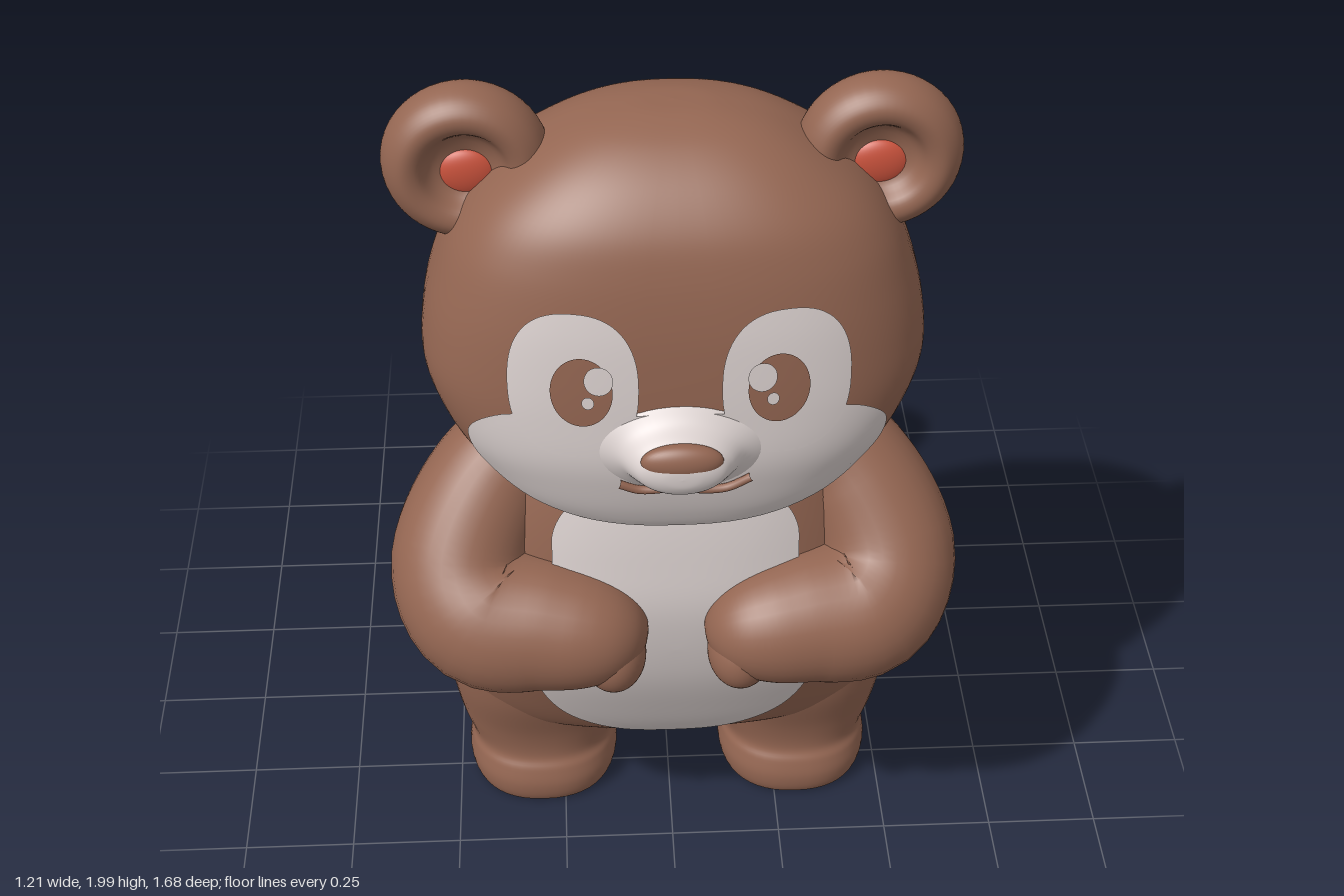
import * as THREE from 'three';

const { Vector2, Vector3, CatmullRomCurve3 } = THREE;
const mat = (name, color) => Object.assign(new THREE.MeshStandardMaterial({ color }), { name });
const brown = mat('brown fur', 0x946652);
const cream = mat('cream fur', 0xdcd2d0);
const red = mat('red inner ear', 0xc9523c);

const mesh = (name, geometry, material) => Object.assign(new THREE.Mesh(geometry, material), { name });

// Skin a grid of rings; each ring is a closed loop of Vector3
function skin(rings) {
  const n = rings[0].length, index = [];
  for (let i = 0; i < rings.length - 1; i++) {
    for (let j = 0; j < n; j++) {
      const k = (j + 1) % n, a = i * n, b = a + n;
      index.push(a + j, a + k, b + j, a + k, b + k, b + j);
    }
  }
  const g = new THREE.BufferGeometry().setFromPoints(rings.flat());
  g.setIndex(index);
  g.computeVertexNormals();
  return g;
}

// Upright form from rows [y, half width, back z, front z] with superellipse rings
function loft(rows, { cx = 0, nf = 2.3, nb = 2.5, steps = 80, segs = 72 } = {}) {
  const curve = (f) => new CatmullRomCurve3(rows.map(f), false, 'catmullrom', 0.5);
  const A = curve(([y, w, zb]) => new Vector3(w, y, zb));
  const B = curve(([y, , , zf]) => new Vector3(zf, y, 0));
  const at = (t) => {
    const a = A.getPoint(t), zf = B.getPoint(t).x;
    return { y: a.y, w: Math.max(a.x, 0), zc: (a.z + zf) / 2, d: Math.max((zf - a.z) / 2, 0) };
  };
  const pow = (v, e) => Math.sign(v) * Math.abs(v) ** e;
  const rings = [];
  for (let i = 0; i <= steps; i++) {
    const { y, w, zc, d } = at(i / steps), ring = [];
    for (let j = 0; j < segs; j++) {
      const th = (j / segs) * Math.PI * 2, c = Math.cos(th), s = -Math.sin(th);
      const e = 2 / (s > 0 ? nf : nb);
      ring.push(new Vector3(cx + w * pow(c, e), y, zc + d * pow(s, e)));
    }
    rings.push(ring);
  }
  // Point on the front surface, lifted by a small offset
  const front = (x, y, off) => {
    let lo = 0, hi = 1;
    for (let i = 0; i < 30; i++) {
      const m = (lo + hi) / 2;
      if (at(m).y < y) lo = m; else hi = m;
    }
    const { w, zc, d } = at(lo);
    const k = Math.max(0, 1 - Math.abs((x - cx) / (w + off)) ** nf);
    return new Vector3(x, y, zc + (d + off) * k ** (1 / nf));
  };
  return { geometry: skin(rings), front };
}

// Rounded limb along points [x, y, z, radius], mirrored by side
function limb(points, side = 1, yScale = 1) {
  const path = new CatmullRomCurve3(points.map(([x, y, z]) => new Vector3(x * side, y, z)));
  const radii = new CatmullRomCurve3(points.map((p, i) => new Vector3(p[3], i, 0)), false, 'catmullrom');
  const steps = 60, segs = 32, len = path.getLength(), rings = [];
  const frames = path.computeFrenetFrames(400);
  for (let i = 0; i <= steps; i++) {
    const u = Math.round(200 * (1 - Math.cos((Math.PI * i) / steps))) / 400;
    const c = path.getPointAt(u), f = Math.round(u * 400);
    const r = radii.getPoint(path.getUtoTmapping(u)).x;
    const q = Math.min(1, (Math.min(u, 1 - u) * len) / (r * 1.15));
    const R = r * Math.sqrt(1 - (1 - q) ** 2), ring = [];
    for (let j = 0; j < segs; j++) {
      const th = (j / segs) * Math.PI * 2;
      const o = frames.normals[f].clone().multiplyScalar(R * Math.cos(th))
        .addScaledVector(frames.binormals[f], R * Math.sin(th));
      o.y *= yScale;
      ring.push(o.add(c));
    }
    rings.push(ring);
  }
  return skin(rings);
}

// Thin painted patch lying on a loft's front surface
function patch(form, outline, cx, cy, off) {
  const rings = [];
  for (let i = 0; i <= 16; i++) {
    const k = 1 - i / 16;
    rings.push(outline.map((p) => form.front(cx + (p.x - cx) * k, cy + (p.y - cy) * k, off)));
  }
  return skin(rings);
}

function oval(cx, cy, rx, ry, n = 2) {
  return Array.from({ length: 64 }, (_, j) => {
    const c = Math.cos((j * Math.PI) / 32), s = Math.sin((j * Math.PI) / 32);
    return new Vector2(cx + rx * Math.sign(c) * Math.abs(c) ** (2 / n), cy + ry * Math.sign(s) * Math.abs(s) ** (2 / n));
  });
}

// Symmetric outline from its +x half, listed bottom to top
function symmetric(half) {
  const pts = half.concat(half.filter(([x]) => x > 0).reverse().map(([x, y]) => [-x, y]));
  return new CatmullRomCurve3(pts.map(([x, y]) => new Vector3(x, y, 0)), true).getPoints(95).slice(0, -1);
}

// Turned form facing +z from a smooth [radius, z] profile
function turned(name, profile, material) {
  const pts = new THREE.SplineCurve(profile.map(([r, h]) => new Vector2(r, h))).getPoints(48);
  pts.forEach((p) => { p.x = Math.max(p.x, 0); });
  const m = mesh(name, new THREE.LatheGeometry(pts, 48), material);
  m.rotation.x = Math.PI / 2;
  return m;
}

function blob(name, material, pos, scale) {
  const m = mesh(name, new THREE.SphereGeometry(1, 40, 28), material);
  m.position.set(...pos);
  m.scale.set(...scale);
  return m;
}

export function createModel() {
  const model = new THREE.Group();
  model.name = 'bear';

  // Torso and belly patch
  const body = loft([
    [0.22, 0, 0.21, 0.21], [0.226, 0.26, 0.13, 0.31], [0.25, 0.42, 0.07, 0.38], [0.3, 0.472, 0.04, 0.435],
    [0.42, 0.505, 0.025, 0.5], [0.6, 0.512, 0.015, 0.575], [0.8, 0.488, 0.035, 0.615], [0.95, 0.45, 0.08, 0.61],
    [1.1, 0.385, 0.15, 0.59], [1.2, 0.32, 0.21, 0.56], [1.3, 0.2, 0.28, 0.5], [1.34, 0, 0.4, 0.4],
  ], { nb: 2.7 });
  const bellyLine = symmetric([[0, 0.285], [0.12, 0.305], [0.24, 0.39], [0.3, 0.52], [0.308, 0.65],
    [0.28, 0.8], [0.26, 0.93], [0.255, 1.02], [0.21, 1.09], [0, 1.15]]);
  model.add(mesh('torso', body.geometry, brown), mesh('belly', patch(body, bellyLine, 0, 0.7, 0.007), cream));

  // Head and face mask
  const head = loft([
    [1.06, 0, 0.45, 0.45], [1.075, 0.18, 0.3, 0.6], [1.1, 0.27, 0.26, 0.66], [1.16, 0.355, 0.235, 0.695],
    [1.24, 0.42, 0.17, 0.72], [1.32, 0.47, 0.12, 0.735], [1.42, 0.505, 0.09, 0.735], [1.52, 0.5, 0.088, 0.73],
    [1.62, 0.475, 0.1, 0.72], [1.72, 0.435, 0.13, 0.7], [1.8, 0.375, 0.165, 0.67], [1.87, 0.285, 0.22, 0.615],
    [1.92, 0.19, 0.28, 0.545], [1.945, 0.09, 0.35, 0.47], [1.95, 0, 0.41, 0.41],
  ], { nf: 2.8, nb: 2.3, steps: 112, segs: 96 });
  const maskLine = symmetric([[0, 1.11], [0.2, 1.135], [0.33, 1.2], [0.4, 1.28], [0.412, 1.36],
    [0.35, 1.42], [0.2, 1.44], [0.08, 1.44], [0, 1.45]]);
  model.add(mesh('head', head.geometry, brown), mesh('faceMask', patch(head, maskLine, 0, 1.3, 0.006), cream));

  // Tapered muzzle, nose and mouth
  const muzzle = turned('muzzle', [[0.2, -0.015], [0.165, 0.006], [0.125, 0.032], [0.1, 0.065],
    [0.078, 0.09], [0.04, 0.104], [0, 0.107]], cream);
  muzzle.position.set(0, 1.355, 0.727);
  muzzle.scale.z = 0.62;
  model.add(muzzle, blob('nose', brown, [0, 1.38, 0.806], [0.08, 0.038, 0.028]));
  const smile = [[-0.12, 1.272], [-0.08, 1.255], [-0.03, 1.258], [0, 1.266], [0.03, 1.254], [0.09, 1.254], [0.14, 1.282]];
  const smilePath = new CatmullRomCurve3(smile.map(([x, y]) => head.front(x, y, 0.012)));
  model.add(mesh('mouth', new THREE.TubeGeometry(smilePath, 40, 0.009, 8), brown));

  for (const s of [1, -1]) {
    const side = s > 0 ? 'left' : 'right';

    // Eye surround, eye and highlights
    model.add(
      mesh(side + 'EyeSurround', patch(head, oval(s * 0.206, 1.5, 0.126, 0.162, 2.4), s * 0.206, 1.5, 0.006), cream),
      mesh(side + 'Eye', patch(head, oval(s * 0.19, 1.495, 0.06, 0.077), s * 0.19, 1.495, 0.01), brown),
      mesh(side + 'EyeHighlight', patch(head, oval(s * 0.157, 1.525, 0.028, 0.032), s * 0.157, 1.525, 0.014), cream),
      mesh(side + 'EyeGlint', patch(head, oval(s * 0.178, 1.475, 0.012, 0.014), s * 0.178, 1.475, 0.014), cream),
    );

    // Ear: domed back, rounded rim, shallow cupped front
    const ear = new THREE.Group();
    ear.name = side + 'Ear';
    ear.add(
      turned('earShell', [[0, -0.085], [0.08, -0.08], [0.135, -0.052], [0.163, -0.005], [0.155, 0.045],
        [0.125, 0.075], [0.092, 0.07], [0.062, 0.035], [0, 0.012]], brown),
      blob('innerEar', red, [0, -0.024, 0.016], [0.062, 0.052, 0.024]),
    );
    ear.position.set(s * 0.4, 1.837, 0.418);
    model.add(ear);

    // Arm bent across the belly, with curled fingers
    model.add(mesh(side + 'Arm', limb([[0.24, 1.19, 0.37, 0.1], [0.385, 1.04, 0.42, 0.135], [0.452, 0.88, 0.51, 0.152],
      [0.4, 0.8, 0.57, 0.165], [0.27, 0.79, 0.602, 0.148], [0.16, 0.785, 0.625, 0.128], [0.06, 0.78, 0.635, 0.115]], s), brown));
    model.add(blob(side + 'Fingers', brown, [s * 0.135, 0.735, 0.642], [0.07, 0.088, 0.085]));

    // Leg and foot with a hollowed sole
    const leg = loft([
      [0.07, 0, 0.21, 0.21], [0.04, 0.12, 0.09, 0.33], [0.012, 0.155, 0.05, 0.37], [0.03, 0.17, 0.034, 0.386],
      [0.07, 0.177, 0.032, 0.39], [0.11, 0.173, 0.045, 0.38], [0.145, 0.168, 0.06, 0.365], [0.22, 0.19, 0.06, 0.375],
      [0.35, 0.21, 0.04, 0.415], [0.48, 0.212, 0.045, 0.43], [0.58, 0.17, 0.08, 0.4], [0.66, 0, 0.25, 0.25],
    ], { cx: s * 0.3, nb: 2.3, steps: 66, segs: 48 });
    model.add(mesh(side + 'Leg', leg.geometry, brown));
  }

  // Detached tail behind the body
  model.add(mesh('tail', limb([[-0.04, 0.435, -0.28, 0.095], [-0.025, 0.43, -0.39, 0.106], [0.08, 0.43, -0.515, 0.118],
    [0.25, 0.45, -0.657, 0.125], [0.38, 0.455, -0.725, 0.118], [0.515, 0.45, -0.765, 0.095]], 1, 1.26), brown));

  return model;
}
